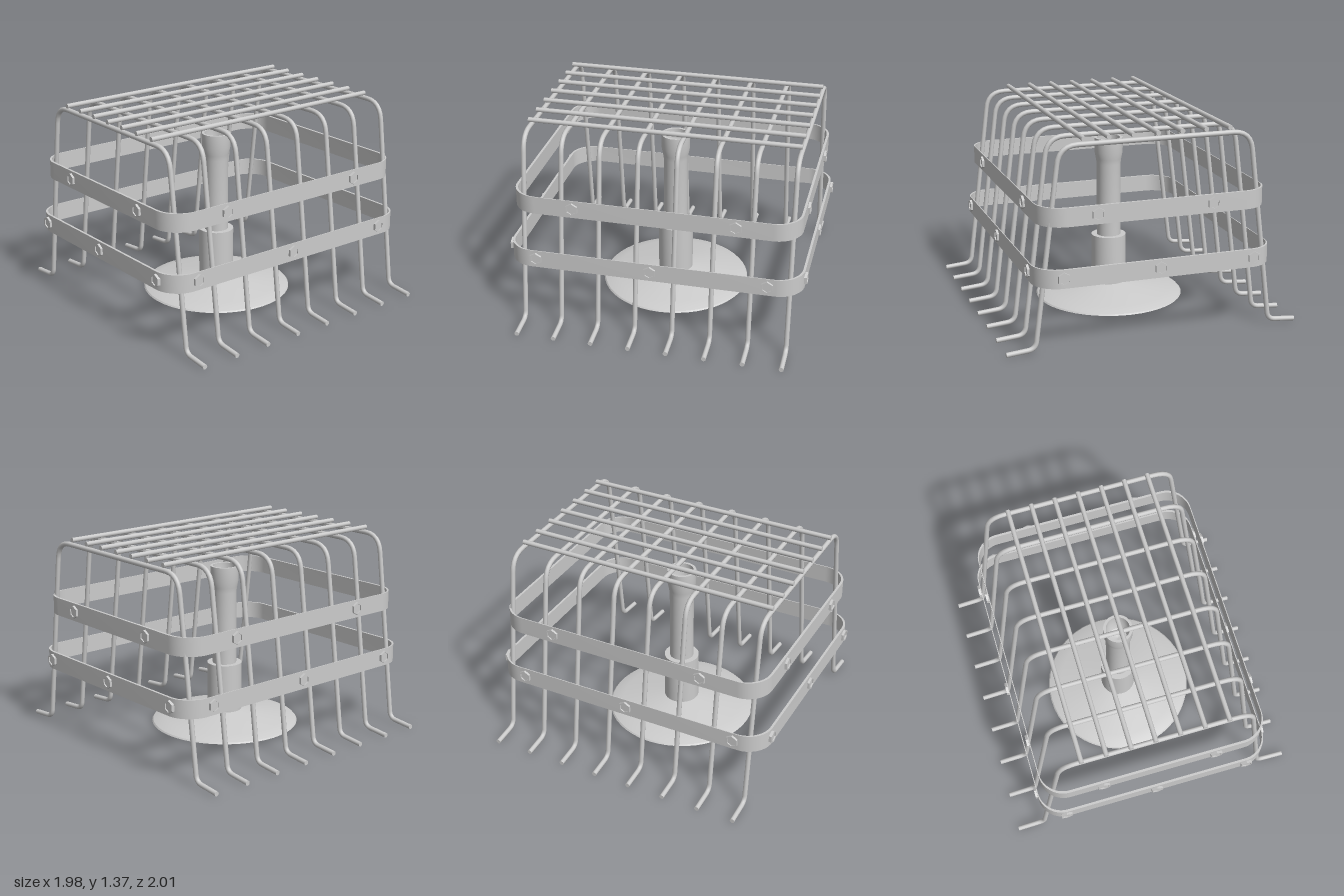
import * as THREE from 'three';
import { toCreasedNormals } from 'three/addons/utils/BufferGeometryUtils.js';

const material = new THREE.MeshStandardMaterial({ color: 0xcccccc });
const flatMaterial = new THREE.MeshStandardMaterial({ color: 0xcccccc, flatShading: true });
const V = (x, y) => new THREE.Vector3(x, y, 0);

// Path whose tube rings sit exactly on the given points
class PointPath extends THREE.Curve {
  constructor(points) { super(); this.points = points; }
  index(t) { return Math.round(t * (this.points.length - 1)); }
  getPoint(t, target = new THREE.Vector3()) { return target.copy(this.points[this.index(t)]); }
  getPointAt(t, target) { return this.getPoint(t, target); }
  getTangentAt(t, target = new THREE.Vector3()) {
    const i = this.index(t), p = this.points;
    return target.subVectors(p[Math.min(i + 1, p.length - 1)], p[Math.max(i - 1, 0)]).normalize();
  }
}

// Polyline with every inner corner replaced by a rounded bend
function roundedPath(corners, bends, steps = 6) {
  const points = [corners[0]];
  for (let i = 1; i < corners.length - 1; i++) {
    const c = corners[i];
    const toward = (p) => p.clone().sub(c).setLength(bends[i - 1]).add(c);
    const bend = new THREE.QuadraticBezierCurve3(toward(corners[i - 1]), c, toward(corners[i + 1]));
    points.push(...bend.getPoints(steps));
  }
  points.push(corners[corners.length - 1]);
  return new PointPath(points);
}

function roundedRect(target, hx, hz, r) {
  target.moveTo(hx, -hz + r);
  target.lineTo(hx, hz - r);
  target.absarc(hx - r, hz - r, r, 0, Math.PI / 2);
  target.lineTo(-hx + r, hz);
  target.absarc(-hx + r, hz - r, r, Math.PI / 2, Math.PI);
  target.lineTo(-hx, -hz + r);
  target.absarc(-hx + r, -hz + r, r, Math.PI, Math.PI * 1.5);
  target.lineTo(hx - r, -hz);
  target.absarc(hx - r, -hz + r, r, Math.PI * 1.5, Math.PI * 2);
  return target;
}

const lathe = (profile, sides) =>
  new THREE.LatheGeometry(profile.map(([r, y]) => new THREE.Vector2(r, y)), sides);

export function createModel() {
  const model = new THREE.Group();
  const add = (parent, geometry, name, x = 0, y = 0, z = 0, mat = material) => {
    const mesh = new THREE.Mesh(geometry, mat);
    mesh.name = name;
    mesh.position.set(x, y, z);
    parent.add(mesh);
    return mesh;
  };

  // Bent hoops with splayed feet
  const wire = 0.0165;
  const hoopGeometry = new THREE.BufferGeometry();
  const path = roundedPath(
    [V(-0.99, 0.018), V(-0.8, 0.035), V(-0.635, 1.327), V(0.635, 1.327), V(0.8, 0.035), V(0.99, 0.018)],
    [0.05, 0.12, 0.12, 0.05]);
  hoopGeometry.copy(new THREE.TubeGeometry(path, path.points.length - 1, wire, 10));
  const capGeometry = new THREE.CircleGeometry(wire, 10);
  for (let i = 0; i < 8; i++) {
    const hoop = new THREE.Group();
    hoop.name = 'hoop';
    hoop.position.z = 0.88 - 0.255 * i;
    add(hoop, hoopGeometry, 'hoopWire');
    for (const s of [-1, 1]) add(hoop, capGeometry, 'hoopEnd', s * 0.99, 0.018).rotation.y = s * Math.PI / 2;
    model.add(hoop);
  }

  // Straight rods lying across the hoops
  const rodGeometry = new THREE.CylinderGeometry(0.016, 0.016, 1.805, 10).rotateX(Math.PI / 2);
  for (let i = 0; i < 7; i++) add(model, rodGeometry, 'topRod', -0.493 + 0.1615 * i, 1.36, -0.006);

  // Flat bands around the cage, with socketed hexagon bolts on all four sides
  const boltGeometry = lathe(
    [[0.044, -0.004], [0.044, 0.016], [0.033, 0.016], [0.033, 0.008], [0, 0.008]], 6).rotateX(Math.PI / 2);
  const bands = [
    { name: 'upperBand', y: 0.827, hx: 0.767, hz: 0.957, frontBolts: [-0.37, 0.4], sideBolts: [-0.547, 0.53] },
    { name: 'lowerBand', y: 0.443, hx: 0.802, hz: 0.987, frontBolts: [-0.645, -0.005, 0.635], sideBolts: [-0.765, 0.008, 0.782] },
  ];
  for (const b of bands) {
    const group = new THREE.Group();
    group.name = b.name;
    group.position.y = b.y;
    const shape = roundedRect(new THREE.Shape(), b.hx, b.hz, 0.17);
    shape.holes.push(roundedRect(new THREE.Path(), b.hx - 0.006, b.hz - 0.016, 0.165));
    const strip = new THREE.ExtrudeGeometry(shape, { depth: 0.122, bevelEnabled: false, curveSegments: 10 });
    add(group, toCreasedNormals(strip.rotateX(-Math.PI / 2), 0.5), 'strip');
    for (const s of [-1, 1]) {
      for (const x of b.frontBolts)
        add(group, boltGeometry, 'bolt', x, 0.064, s * b.hz, flatMaterial).rotation.y = s > 0 ? 0 : Math.PI;
      for (const z of b.sideBolts)
        add(group, boltGeometry, 'bolt', s * b.hx, 0.064, z, flatMaterial).rotation.y = s * Math.PI / 2;
    }
    model.add(group);
  }

  // Central stand: dished foot, stepped column and hollow flared socket
  const standProfile = [
    [0, 0.06], [0.513, 0.015], [0.505, 0.024], [0.47, 0.036], [0.42, 0.048], [0.12, 0.1],
    [0.12, 0.44], [0.083, 0.44], [0.083, 0.95], [0.088, 0.985], [0.098, 1.035], [0.098, 1.132],
    [0.08, 1.132], [0.08, 1.03], [0.06, 0.98], [0, 0.96],
  ];
  add(model, toCreasedNormals(lathe(standProfile, 48), 0.5), 'stand', 0, 0, 0.02);

  return model;
}
